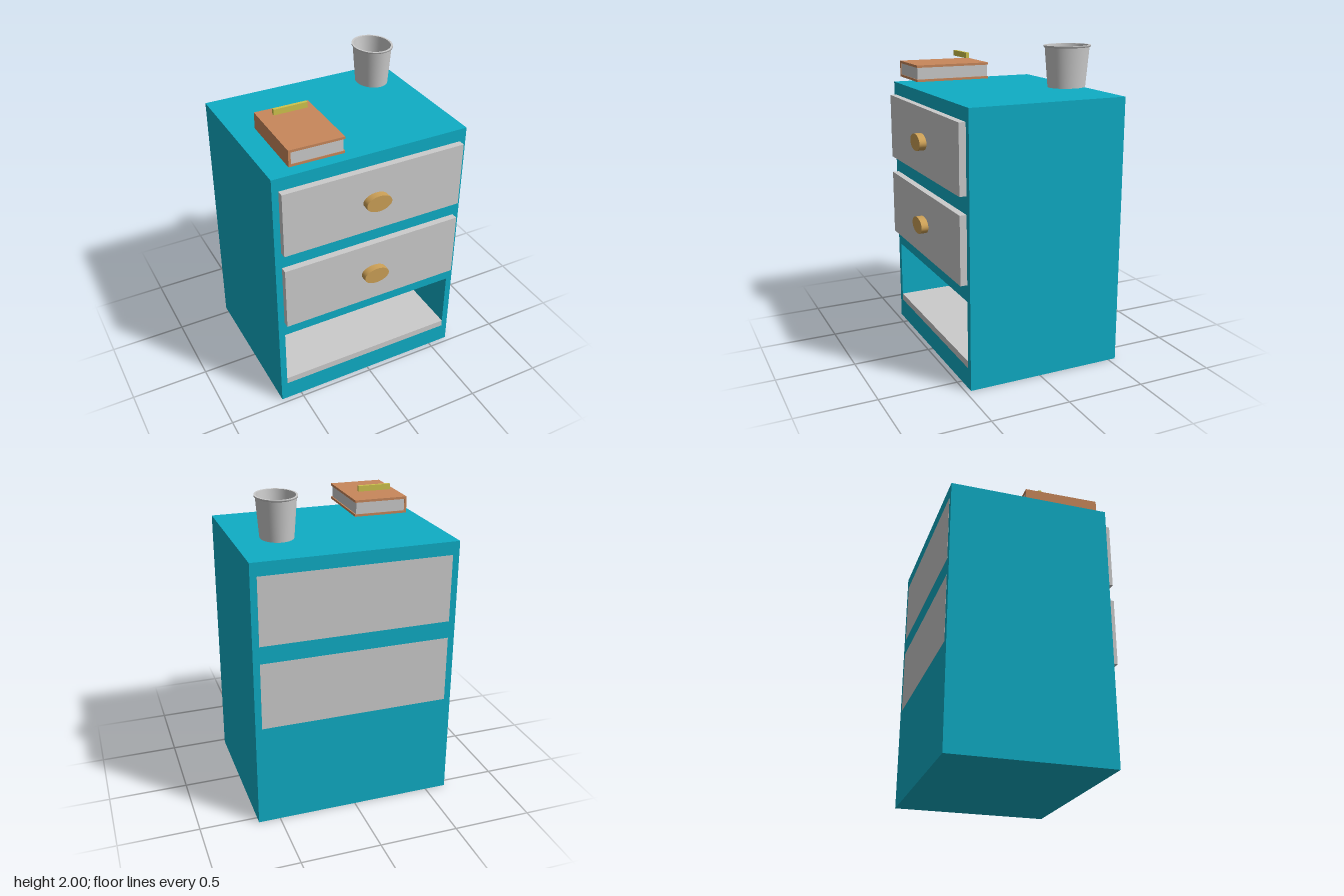
import * as THREE from 'three';

const mat = (color) => new THREE.MeshStandardMaterial({ color });
const GREY = mat(0xcccccc), TEAL = mat(0x0fadc5), WOOD = mat(0xcca056);
const LEATHER = mat(0xc8875b), YELLOW = mat(0xcfc34d);

function add(parent, name, geometry, material, x = 0, y = 0, z = 0) {
  const mesh = new THREE.Mesh(geometry, material);
  mesh.name = name;
  mesh.position.set(x, y, z);
  parent.add(mesh);
  return mesh;
}

// Box given by its limits on each axis
function box(parent, name, material, [x0, x1], [y0, y1], [z0, z1]) {
  return add(parent, name, new THREE.BoxGeometry(x1 - x0, y1 - y0, z1 - z0), material,
    (x0 + x1) / 2, (y0 + y1) / 2, (z0 + z1) / 2);
}

function rect(Type, x0, x1, y0, y1) {
  return new Type([[x0, y0], [x1, y0], [x1, y1], [x0, y1]].map(([x, y]) => new THREE.Vector2(x, y)));
}

export function createModel() {
  const model = new THREE.Group();
  model.name = 'nightstand';
  const back = -0.55, front = 0.467, inner = 0.596;
  const drawers = [[0.66, 1.086], [1.196, 1.62]];
  const niche = [0.13, 0.556];

  // Cabinet: a block pierced by two drawer bays and an open niche
  const outline = rect(THREE.Shape, -0.637, 0.637, 0, 1.703);
  for (const [y0, y1] of [...drawers, niche]) outline.holes.push(rect(THREE.Path, -inner, inner, y0, y1));
  add(model, 'cabinet', new THREE.ExtrudeGeometry(outline, { depth: front - back, bevelEnabled: false }),
    TEAL, 0, 0, back);
  box(model, 'nichePanel', TEAL, [-inner, inner], niche, [back, back + 0.03]);
  box(model, 'shelf', GREY, [-inner, inner], [0.13, 0.175], [back + 0.03, front]);

  // Drawers with oval knobs
  for (const y of drawers) {
    const drawer = new THREE.Group();
    drawer.name = 'drawer';
    model.add(drawer);
    box(drawer, 'drawerBox', GREY, [-inner, inner], y, [back - 0.001, 0.51]);
    const knob = new THREE.CylinderGeometry(1, 1, 0.05, 48).rotateX(Math.PI / 2).scale(0.084, 0.053, 1);
    add(drawer, 'knob', knob, WOOD, 0, (y[0] + y[1]) / 2 - 0.006 * -1 - 0.008, 0.53);
  }

  // Book: two covers, a spine and recessed pages
  const book = new THREE.Group();
  book.name = 'book';
  book.position.set(-0.35, 1.75, 0.218);
  book.rotation.y = -0.015;
  model.add(book);
  const w = 0.172, d = 0.243, h = 0.104, t = 0.015;
  box(book, 'bottomCover', LEATHER, [-w, w], [0, t], [-d, d]);
  box(book, 'topCover', LEATHER, [-w, w], [h - t, h], [-d, d]);
  box(book, 'spine', LEATHER, [-w, -w + t], [t, h - t], [-d, d]);
  box(book, 'pages', GREY, [-w + t, w - 0.008], [t, h - t], [-d + 0.004, d - 0.004]);

  // Pencil stub above the book
  box(model, 'pencil', YELLOW, [-0.45, -0.236], [1.88, 1.916], [0.085, 0.105]);

  // Oval tapered cup with a small lip; each surface is turned separately to keep edges sharp
  const cup = new THREE.Group();
  cup.name = 'cup';
  cup.position.set(0.403, 1.75, -0.278);
  cup.scale.z = 1.175;
  model.add(cup);
  const turn = (name, ...points) => add(cup, name,
    new THREE.LatheGeometry(points.map(([r, y]) => new THREE.Vector2(r, y)), 64), GREY);
  turn('cupBase', [0, 0], [0.1, 0]);
  turn('cupWall', [0.1, 0], [0.118, 0.238]);
  turn('cupLip', [0.118, 0.238], [0.125, 0.242], [0.125, 0.25]);
  turn('cupRim', [0.125, 0.25], [0.113, 0.25]);
  turn('cupInside', [0.113, 0.25], [0.092, 0.012]);
  turn('cupFloor', [0.092, 0.012], [0, 0.012]);
  return model;
}
